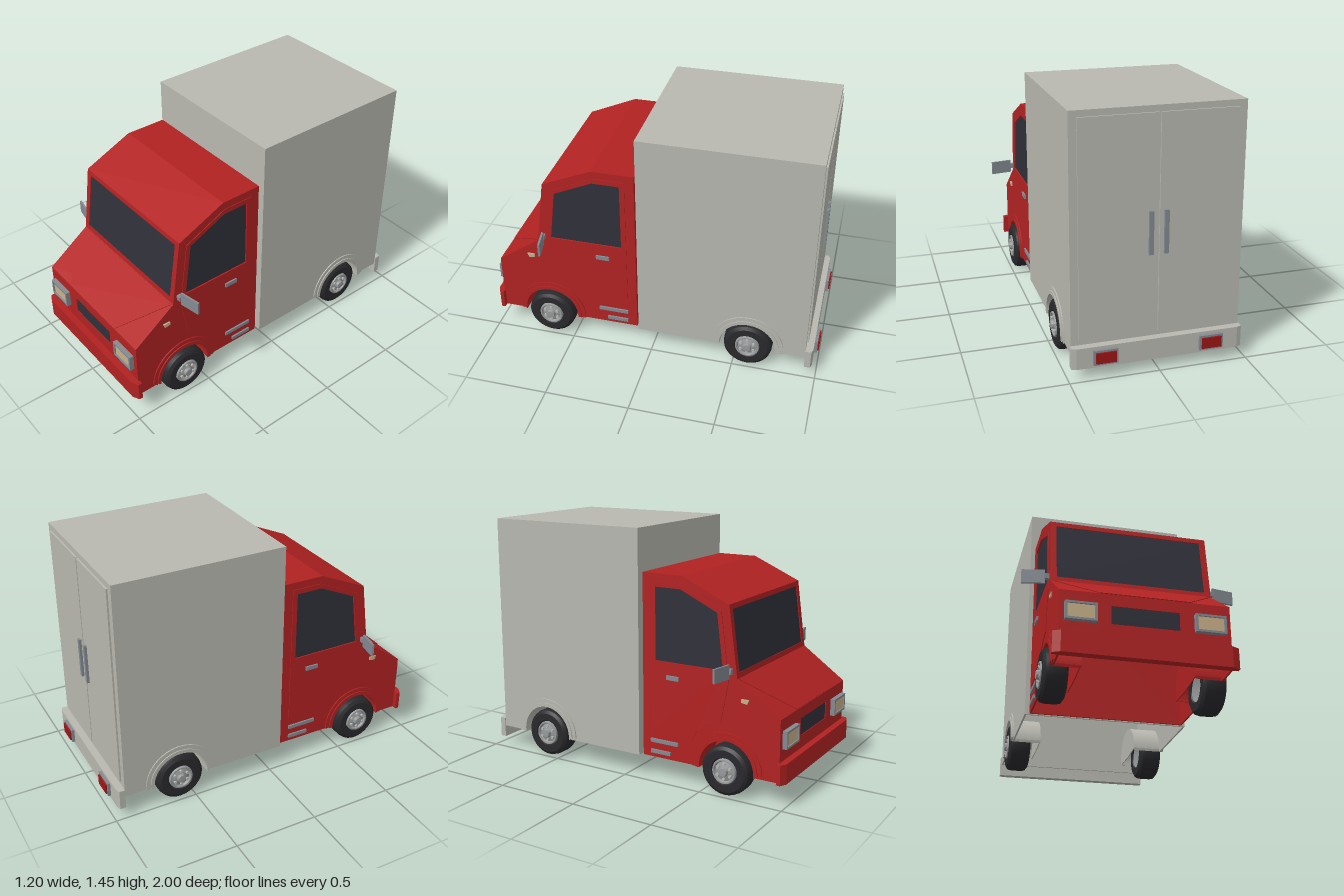
import * as THREE from 'three';
import { toCreasedNormals } from 'three/addons/utils/BufferGeometryUtils.js';

const paint = (name, color) => {
  const m = new THREE.MeshStandardMaterial({ color, side: THREE.DoubleSide });
  m.name = name;
  return m;
};

export function createModel() {
  const red = paint('cab red', 0xb22222);
  const grey = paint('cargo grey', 0xb8b8b0);
  const glass = paint('dark glass', 0x30303a);
  const rubber = paint('tyre rubber', 0x29292d);
  const metal = paint('trim metal', 0x838a91);
  const hubGrey = paint('hub grey', 0x96999b);
  const lamp = paint('headlight lens', 0xc8b08a);
  const tailRed = paint('tail light lens', 0x9c1616);

  const truck = new THREE.Group();
  truck.name = 'boxTruck';

  const add = (name, geo, mat, x = 0, y = 0, z = 0, parent = truck) => {
    const mesh = new THREE.Mesh(geo, mat);
    mesh.name = name;
    mesh.position.set(x, y, z);
    parent.add(mesh);
    return mesh;
  };
  const box = (name, mat, w, h, d, x, y, z) => add(name, new THREE.BoxGeometry(w, h, d), mat, x, y, z);
  const poly = (pts) => new THREE.Shape(pts.map(([a, b]) => new THREE.Vector2(a, b)));
  const rect = (x0, y0, x1, y1) => poly([[x0, y0], [x1, y0], [x1, y1], [x0, y1]]);
  const extrude = (shape, depth) =>
    new THREE.ExtrudeGeometry(shape, { depth, bevelEnabled: false, curveSegments: 20 });

  // Flat part drawn in (z, y), placed on both sides and spanning x .. x + depth
  const onSides = (name, shape, mat, x, depth) => {
    const geo = extrude(shape, depth);
    for (const s of [1, -1]) {
      const side = s > 0 ? 'left' : 'right';
      add(side + name, geo, mat, s > 0 ? x + depth : -x).rotation.y = -Math.PI / 2;
    }
  };

  // Full-width panel running from profile point p to q, thickness inwards
  const strip = (name, mat, p, q, halfW, hole) => {
    const dz = q[0] - p[0], dy = q[1] - p[1];
    const shape = rect(-halfW, 0, halfW, Math.hypot(dz, dy));
    if (hole) shape.holes.push(hole);
    const mesh = add(name, extrude(shape, 0.01).translate(0, 0, -0.01), mat, 0, p[1], p[0]);
    mesh.rotation.x = Math.atan2(dz, dy);
    return mesh;
  };

  const floorY = 0.13, axleY = 0.145, frontZ = 0.645, rearZ = -0.585, archR = 0.168;

  // Side outline with a wheel arch cut from its lower edge (points run from high z to low z over the top)
  const archedSide = (pts, z) => {
    const s = new THREE.Shape();
    s.moveTo(...pts[0]);
    pts.slice(1).forEach((p) => s.lineTo(...p));
    s.lineTo(z - archR, floorY);
    s.lineTo(z - archR, axleY);
    s.absarc(z, axleY, archR, Math.PI, 0, true);
    s.lineTo(z + archR, floorY);
    return s;
  };

  // Cab shell
  const cabW = 0.45;
  const cab = [[0.96, floorY], [0.96, 0.485], [0.70, 0.67], [0.645, 1.07], [0.35, 1.2], [0.10, 1.2], [0.10, floorY]];
  const windowPts = [[0.185, 0.705], [0.615, 0.705], [0.575, 1.02], [0.345, 1.125], [0.185, 1.125]];
  const cabSide = archedSide(cab, frontZ);
  cabSide.holes.push(poly(windowPts));
  onSides('CabSide', cabSide, red, cabW - 0.01, 0.01);
  strip('cabNose', red, cab[0], cab[1], cabW, rect(-0.18, 0.19, 0.18, 0.29));
  strip('hood', red, cab[1], cab[2], cabW);
  const screenHole = rect(-0.415, 0.03, 0.415, 0.375);
  strip('windscreenFrame', red, cab[2], cab[3], cabW, screenHole);
  strip('slopedRoof', red, cab[3], cab[4], cabW);
  strip('roof', red, cab[4], cab[5], cabW);
  strip('cabBack', red, cab[5], cab[6], cabW);

  // Raised hood centre
  const hoodPlate = add('hoodPanel', extrude(
    poly([[-0.24, 0.004], [0.24, 0.004], [0.44, 0.313], [-0.44, 0.313]]), 0.004), red, 0, cab[1][1], cab[1][0]);
  hoodPlate.rotation.x = Math.atan2(cab[2][0] - cab[1][0], cab[2][1] - cab[1][1]);

  // Glass and grille
  const screen = add('windscreen', extrude(screenHole, 0.005).translate(0, 0, -0.009), glass, 0, cab[2][1], cab[2][0]);
  screen.rotation.x = Math.atan2(cab[3][0] - cab[2][0], cab[3][1] - cab[2][1]);
  onSides('SideWindow', poly(windowPts), glass, cabW - 0.009, 0.005);
  box('grille', glass, 0.36, 0.1, 0.006, 0, 0.37, 0.953);

  // Doors and side trim
  const door = poly([[0.155, 0.275], [0.425, 0.275], [0.455, 0.335], [0.52, 0.385], [0.605, 0.41],
    [0.65, 0.65], [0.60, 1.035], [0.34, 1.155], [0.155, 1.155]]);
  door.holes.push(poly(windowPts));
  onSides('Door', door, red, cabW, 0.004);
  onSides('DoorHandle', rect(0.26, 0.605, 0.34, 0.63), metal, cabW, 0.014);
  onSides('UpperStepTrim', rect(0.155, 0.22, 0.335, 0.242), metal, cabW, 0.01);
  onSides('LowerStepTrim', rect(0.155, 0.155, 0.285, 0.177), metal, cabW, 0.01);
  onSides('SideIndicator', poly([[0.73, 0.545], [0.765, 0.54], [0.775, 0.565], [0.73, 0.565]]), lamp, cabW, 0.009);

  // Cargo box, open underneath
  const boxW = 0.475;
  const cargo = [[0.085, floorY], [0.085, 1.445], [-0.93, 1.445], [-0.93, floorY]];
  onSides('CargoSide', archedSide(cargo, rearZ), grey, boxW - 0.01, 0.01);
  ['cargoFront', 'cargoRoof', 'cargoBack'].forEach((n, i) => strip(n, grey, cargo[i], cargo[i + 1], boxW));

  // Wheel arches: stepped rims and inner wells
  const rim = (z, r0, r1) => {
    const s = new THREE.Shape();
    s.moveTo(z + r1, floorY);
    s.absarc(z, axleY, r1, 0, Math.PI, false);
    s.lineTo(z - r1, floorY);
    s.lineTo(z - r0, floorY);
    s.absarc(z, axleY, r0, Math.PI, 0, true);
    s.lineTo(z + r0, floorY);
    return s;
  };
  for (const [label, z, w, mat] of [['Front', frontZ, cabW, red], ['Rear', rearZ, boxW, grey]]) {
    onSides(label + 'ArchOuterRim', rim(z, 0.19, 0.215), mat, w, 0.007);
    onSides(label + 'ArchInnerRim', rim(z, archR, 0.19), mat, w, 0.013);
    onSides(label + 'WheelWell', rim(z, archR, archR + 0.004), mat, 0.3, w - 0.305);
    onSides(label + 'WellWall', rim(z, 0.001, archR), mat, 0.3, 0.005);
  }

  // Wheels
  const lathe = (pts, n) => toCreasedNormals(
    new THREE.LatheGeometry(pts.map(([r, y]) => new THREE.Vector2(r, y)), n), 0.6);
  const tyreGeo = lathe([[0.072, -0.05], [0.08, -0.065], [0.122, -0.065], [0.14, -0.052], [0.145, -0.03],
    [0.145, 0.03], [0.14, 0.052], [0.122, 0.065], [0.08, 0.065], [0.072, 0.05]], 32);
  const hubGeo = lathe([[0, -0.04], [0.073, -0.06], [0.073, 0.062], [0.07, 0.07], [0.062, 0.07], [0.056, 0.056],
    [0.04, 0.062], [0.027, 0.066], [0.023, 0.083], [0, 0.085]], 24);
  const nutGeo = new THREE.CylinderGeometry(0.009, 0.009, 0.016, 8);
  for (const [label, z] of [['Front', frontZ], ['Rear', rearZ]]) {
    for (const s of [1, -1]) {
      const wheel = new THREE.Group();
      wheel.name = (s > 0 ? 'left' : 'right') + label + 'Wheel';
      wheel.position.set(s * 0.42, axleY, z);
      wheel.rotation.z = -s * Math.PI / 2;
      add('tyre', tyreGeo, rubber, 0, 0, 0, wheel);
      add('hub', hubGeo, hubGrey, 0, 0, 0, wheel);
      for (let i = 0; i < 6; i++) {
        const a = (i * Math.PI) / 3;
        add('wheelNut', nutGeo, grey, 0.044 * Math.cos(a), 0.064, 0.044 * Math.sin(a), wheel);
      }
      truck.add(wheel);
    }
  }

  // Bumpers with chamfered ends, drawn in (x, -z)
  const bumper = (name, mat, pts, y, h) => {
    add(name, extrude(poly(pts), h), mat, 0, y).rotation.x = -Math.PI / 2;
  };
  bumper('frontBumper', red, [[-0.48, -0.955], [-0.48, -0.978], [-0.44, -0.998], [0.44, -0.998],
    [0.48, -0.978], [0.48, -0.955]], floorY, 0.115);
  bumper('rearBumper', grey, [[-0.482, 0.93], [-0.482, 0.965], [-0.455, 0.974], [0.455, 0.974],
    [0.482, 0.965], [0.482, 0.93]], 0.06, 0.12);

  // Paired lights, mirrors, rear doors and handles
  for (const s of [1, -1]) {
    const side = s > 0 ? 'left' : 'right';
    const frame = rect(-0.0825, -0.05, 0.0825, 0.05);
    frame.holes.push(rect(-0.07, -0.038, 0.07, 0.038));
    add(side + 'HeadlightFrame', extrude(frame, 0.03), metal, s * 0.338, 0.366, 0.958);
    box(side + 'Headlight', lamp, 0.142, 0.078, 0.02, s * 0.338, 0.366, 0.97);

    box(side + 'TailLightFrame', metal, 0.135, 0.085, 0.018, s * 0.298, 0.121, -0.982);
    box(side + 'TailLight', tailRed, 0.112, 0.062, 0.014, s * 0.298, 0.121, -0.993);

    box(side + 'MirrorArm', metal, 0.035, 0.03, 0.025, s * 0.46, 0.71, 0.662);
    box(side + 'Mirror', metal, 0.128, 0.08, 0.012, s * 0.536, 0.71, 0.648).rotation.y = s * 0.18;

    box(side + 'CargoDoor', grey, 0.426, 1.2, 0.01, s * 0.219, 0.81, -0.935);
    box(side + 'CargoDoorHandle', metal, 0.024, 0.24, 0.016, s * 0.042, 0.775, -0.947);
  }

  return truck;
}
